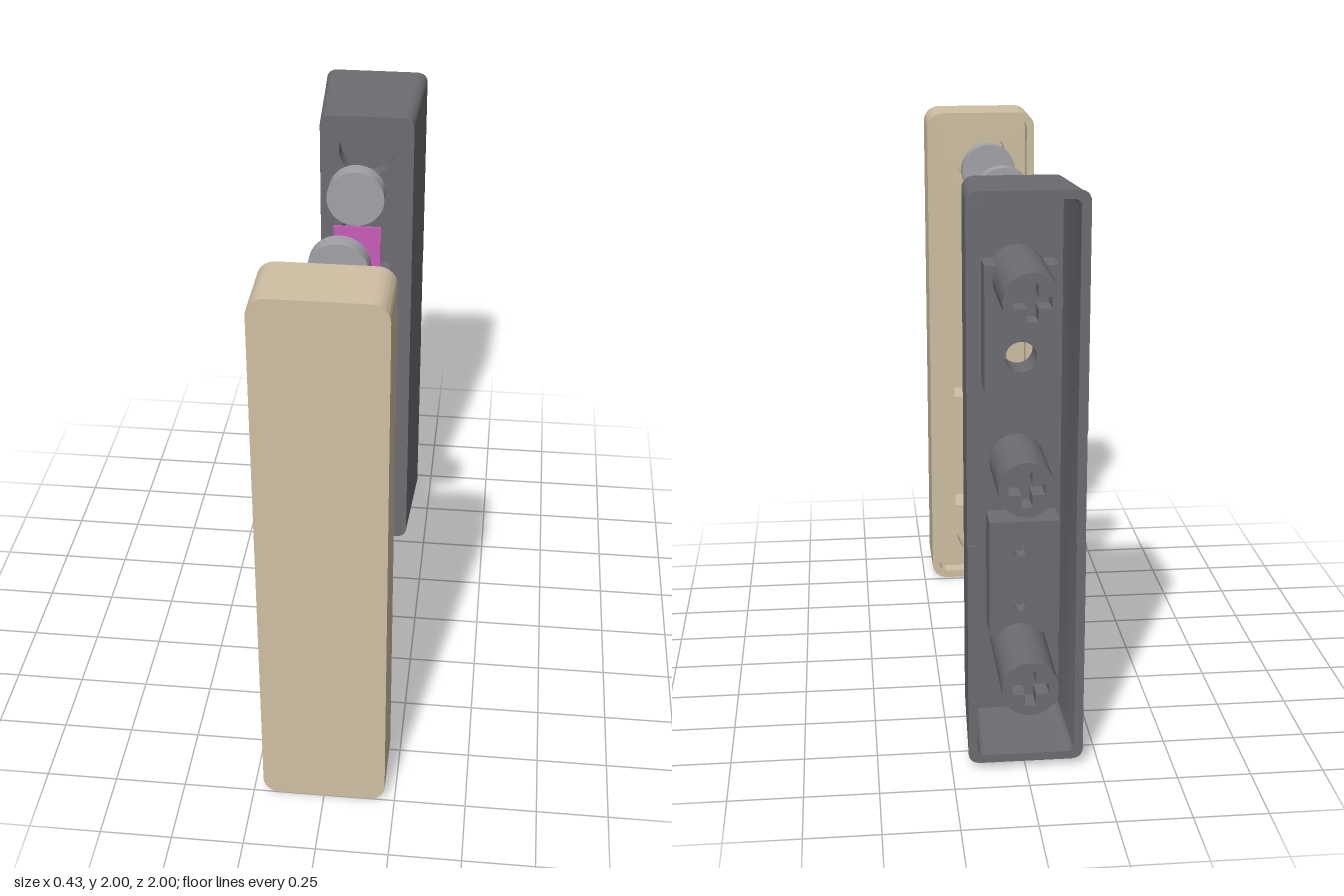
import * as THREE from 'three';
import { toCreasedNormals } from 'three/addons/utils/BufferGeometryUtils.js';

const mat = (name, color) => {
  const m = new THREE.MeshStandardMaterial({ color });
  m.name = name;
  return m;
};

// Rounded rectangle outline from its edges
function rounded(x0, x1, y0, y1, r) {
  const s = new THREE.Shape();
  s.moveTo(x0 + r, y0);
  s.lineTo(x1 - r, y0);
  s.absarc(x1 - r, y0 + r, r, -Math.PI / 2, 0);
  s.lineTo(x1, y1 - r);
  s.absarc(x1 - r, y1 - r, r, 0, Math.PI / 2);
  s.lineTo(x0 + r, y1);
  s.absarc(x0 + r, y1 - r, r, Math.PI / 2, Math.PI);
  s.lineTo(x0, y0 + r);
  s.absarc(x0 + r, y0 + r, r, Math.PI, Math.PI * 1.5);
  return s;
}

const poly = (pts) => new THREE.Shape(pts.map(([x, y]) => new THREE.Vector2(x, y)));
const rect = (x0, x1, y0, y1) => poly([[x0, y0], [x1, y0], [x1, y1], [x0, y1]]);
const disc = (y, r) => new THREE.Shape().absarc(0, y, r, 0, Math.PI * 2);

function cross(y, a, b) {
  return poly([[a, -b], [a, b], [b, b], [b, a], [-b, a], [-b, b], [-a, b], [-a, -b],
    [-b, -b], [-b, -a], [b, -a], [b, -b]].map(([px, py]) => [px, y + py]));
}

// Half of the back rim: a U of wall reaching from yEnd round the end (dir = 1 top, -1 bottom)
function halfRim(w, h, r, t, yEnd, dir) {
  const s = new THREE.Shape();
  const Y = (v) => 1 + dir * v;
  const e = dir * (yEnd - 1), wi = w - t, hi = h - t, ri = r * 0.6;
  s.moveTo(w, Y(e));
  s.lineTo(w, Y(h - r));
  s.quadraticCurveTo(w, Y(h), w - r, Y(h));
  s.lineTo(-w + r, Y(h));
  s.quadraticCurveTo(-w, Y(h), -w, Y(h - r));
  s.lineTo(-w, Y(e));
  s.lineTo(-wi, Y(e));
  s.lineTo(-wi, Y(hi - ri));
  s.quadraticCurveTo(-wi, Y(hi), -wi + ri, Y(hi));
  s.lineTo(wi - ri, Y(hi));
  s.quadraticCurveTo(wi, Y(hi), wi, Y(hi - ri));
  s.lineTo(wi, Y(e));
  return s;
}

// Housing widens towards the back
function taper(geo) {
  const p = geo.attributes.position;
  for (let i = 0; i < p.count; i++) {
    const t = (-0.475 - p.getZ(i)) / 0.405;
    p.setX(i, p.getX(i) * (1 + 0.114 * t));
    p.setY(i, 1 + (p.getY(i) - 1) * (1 + 0.021 * t));
  }
}

export function createModel() {
  const tan = mat('tan plastic', 0xd0c0a3);
  const grey = mat('dark grey plastic', 0x6d6c71);
  const steel = mat('magnet grey', 0xa3a2a7);
  const pink = mat('sensor magenta', 0xc95cba);
  const brass = mat('plate yellow', 0xd0b768);

  const model = new THREE.Group();
  const group = (name) => {
    const g = new THREE.Group();
    g.name = name;
    model.add(g);
    return g;
  };
  const add = (parent, name, geo, material) => {
    const m = new THREE.Mesh(geo, material);
    m.name = name;
    parent.add(m);
    return m;
  };
  // Slab of an outline between two depths, with holes cut through
  const slab = (parent, name, material, shape, holes, z0, z1, rule) => {
    shape.holes = holes;
    const geo = new THREE.ExtrudeGeometry(shape, { depth: z1 - z0, bevelEnabled: false, curveSegments: 12 });
    geo.translate(0, 0, z0);
    if (rule) rule(geo);
    return add(parent, name, toCreasedNormals(geo, 0.5), material);
  };
  const box = (parent, name, material, x0, x1, y0, y1, z0, z1) => {
    const geo = new THREE.BoxGeometry(x1 - x0, y1 - y0, z1 - z0);
    geo.translate((x0 + x1) / 2, (y0 + y1) / 2, (z0 + z1) / 2);
    return add(parent, name, geo, material);
  };
  const rod = (parent, name, material, y, r, z0, z1, sides = 24) => {
    const geo = new THREE.CylinderGeometry(r, r, z1 - z0, sides).rotateX(Math.PI / 2);
    geo.translate(0, y, (z0 + z1) / 2);
    return add(parent, name, geo, material);
  };
  const magnetY = [0.18, 1.82];
  const magnetHoles = () => magnetY.map((y) => disc(y, 0.104));

  // Front cover, open at the back with stepped pockets
  const cover = group('frontCover');
  const coverOutline = () => rounded(-0.215, 0.215, 0, 2, 0.06);
  const slots = () => [rect(-0.11, 0.11, 0.8, 1.675), rect(-0.11, 0.11, 0.31, 0.385)];
  slab(cover, 'coverRim', tan, coverOutline(), [rounded(-0.185, 0.185, 0.03, 1.97, 0.035)], 0.765, 0.825);
  slab(cover, 'coverPlatePocket', tan, coverOutline(),
    [...slots(), ...magnetHoles(), rect(-0.077, 0.077, 0.455, 0.77)], 0.825, 0.84);
  slab(cover, 'coverMagnetPockets', tan, coverOutline(), [...slots(), ...magnetHoles()], 0.84, 0.895);
  slab(cover, 'coverSlots', tan, coverOutline(), slots(), 0.895, 0.96);
  slab(cover, 'coverFace', tan, coverOutline(), [], 0.96, 1);

  // Rear housing, hollow from the back
  const housing = group('rearHousing');
  const outline = () => rounded(-0.175, 0.175, 0.045, 1.955, 0.04);
  const sensorPocket = () => rect(-0.09, 0.09, 1.31, 1.67);
  const switchPocket = () => poly([[-0.065, 0.44], [0.075, 0.44], [0.075, 0.79], [-0.065, 0.79],
    [-0.065, 0.69], [-0.11, 0.69], [-0.11, 0.54], [-0.065, 0.54]]);
  slab(housing, 'housingFront', grey, outline(),
    [...magnetHoles(), sensorPocket(), switchPocket()], -0.545, -0.475, taper);
  slab(housing, 'housingFloor', grey, outline(), [sensorPocket(), switchPocket()], -0.57, -0.545, taper);
  slab(housing, 'housingWall', grey, outline(),
    [rounded(-0.147, 0.147, 0.073, 1.927, 0.024)], -0.873, -0.57, taper);
  for (const [end, dir] of [[1.19, 1], [0.82, -1]])
    slab(housing, 'housingRim', grey, halfRim(0.175, 0.955, 0.04, 0.028, end, dir), [], -0.88, -0.873, taper);

  // Bosses behind the sensor and switch pockets
  slab(housing, 'sensorBoss', grey, rect(-0.12, 0.12, 1.28, 1.7), [disc(1.395, 0.052)], -0.69, -0.57);
  slab(housing, 'switchBoss', grey, rect(-0.135, 0.105, 0.41, 0.82), [switchPocket()], -0.62, -0.57);
  slab(housing, 'switchBossBack', grey, rect(-0.135, 0.105, 0.41, 0.82),
    [disc(0.515, 0.022), disc(0.715, 0.022)], -0.69, -0.62);

  // Posts with cross-shaped sockets
  for (const [y, end] of [[0.355, -1], [1, -0.87], [1.652, -1]]) {
    slab(housing, 'post', grey, disc(y, 0.094), [], end + 0.08, -0.57);
    slab(housing, 'postSocket', grey, disc(y, 0.094), [cross(y, 0.06, 0.018)], end, end + 0.08);
  }

  // Four disc magnets
  const magnets = group('magnets');
  for (const y of magnetY)
    for (const z of [0.42, -0.125]) rod(magnets, 'magnet', steel, y, 0.102, z, z + 0.065, 40);

  // Thin strike plate
  box(model, 'strikePlate', brass, -0.075, 0.075, 0.46, 0.767, 0.423, 0.435);

  // Sensor board with chip and bent pins
  const sensor = group('sensor');
  box(sensor, 'sensorBoard', pink, -0.085, 0.085, 1.445, 1.68, -0.135, -0.125);
  box(sensor, 'sensorChip', pink, -0.04, 0.04, 1.53, 1.595, -0.125, -0.095);
  for (const x of [-0.03, 0, 0.03]) {
    box(sensor, 'pinStem', pink, x - 0.011, x + 0.011, 1.39, 1.46, -0.125, -0.103);
    box(sensor, 'pin', pink, x - 0.011, x + 0.011, 1.38, 1.402, -0.35, -0.11);
  }

  // Switch with side lever and two long screws
  const sw = group('switch');
  box(sw, 'switchBody', grey, -0.06, 0.055, 0.455, 0.775, -0.2, -0.103);
  box(sw, 'switchLever', grey, -0.145, 0.03, 0.555, 0.675, -0.237, -0.108);
  for (const y of [0.515, 0.715]) {
    rod(sw, 'screwRod', grey, y, 0.0125, -0.66, -0.058);
    rod(sw, 'screwTip', grey, y, 0.016, -0.08, -0.058);
    rod(sw, 'screwNut', grey, y, 0.033, -0.105, -0.08, 6);
  }
  return model;
}
